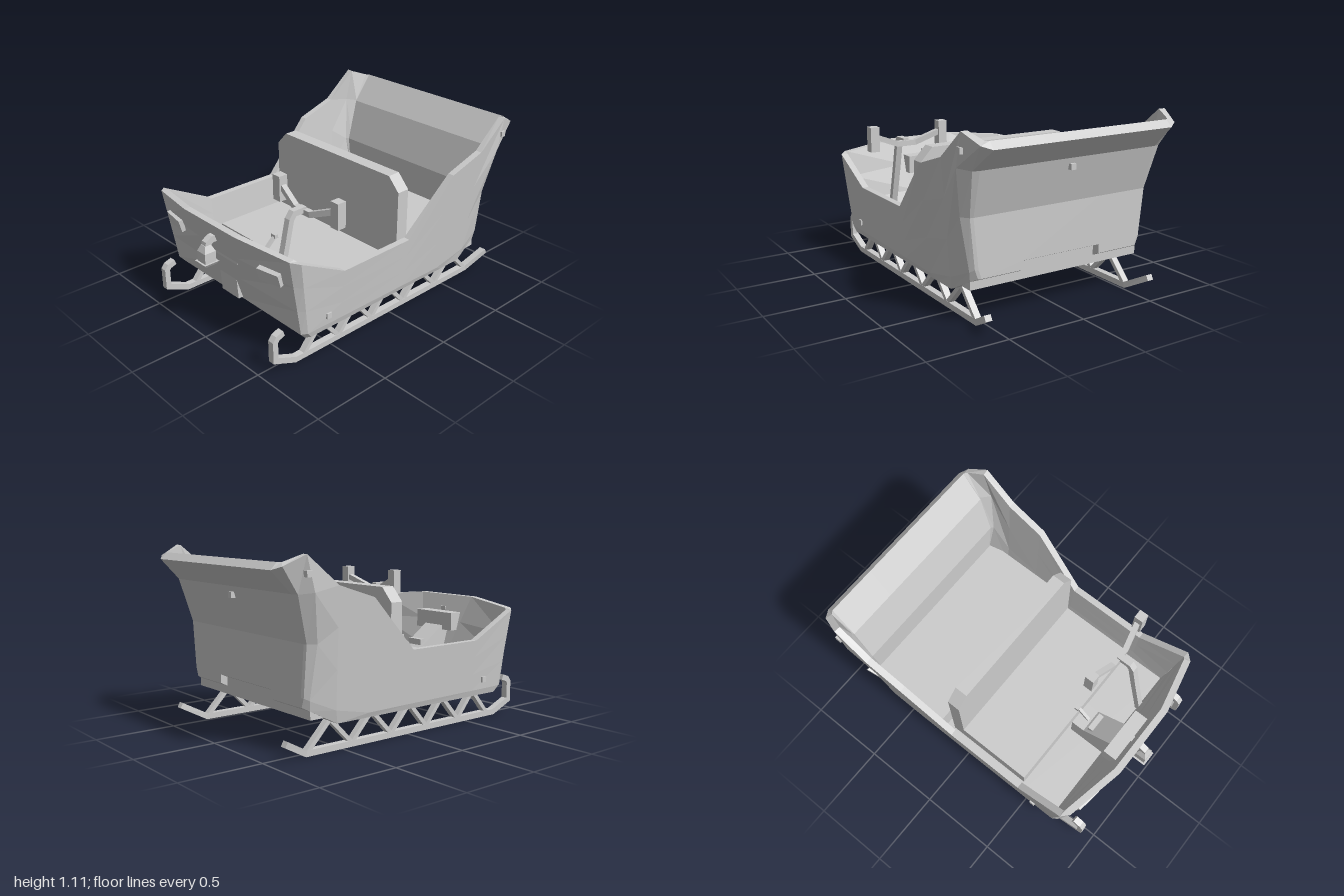
import * as THREE from 'three';

const mat = new THREE.MeshStandardMaterial({ color: 0xcccccc, flatShading: true, side: THREE.DoubleSide });
const V = (x, y, z) => new THREE.Vector3(x, y, z);
const mirror = (p) => V(-p.x, p.y, p.z);

function add(parent, name, geo, x = 0, y = 0, z = 0) {
  const mesh = new THREE.Mesh(geo, mat);
  mesh.name = name;
  mesh.position.set(x, y, z);
  parent.add(mesh);
  return mesh;
}

function box(parent, name, w, h, d, x, y, z) {
  return add(parent, name, new THREE.BoxGeometry(w, h, d), x, y, z);
}

// Skin stretched over rows of points
function sheet(rows, closed = false) {
  const tri = [];
  for (let i = 0; i < rows.length - 1; i++) {
    const a = rows[i], b = rows[i + 1], n = a.length;
    for (let j = 0; j < (closed ? n : n - 1); j++) {
      const k = (j + 1) % n;
      tri.push(a[j], a[k], b[k], a[j], b[k], b[j]);
    }
  }
  const geo = new THREE.BufferGeometry().setFromPoints(tri);
  geo.computeVertexNormals();
  return geo;
}

// Mitred rectangular bar along a path; w runs along 'side', t across it
function bar(pts, w, t, side = V(1, 0, 0)) {
  const p = pts.map((q) => V(...q));
  const normal = (i) => side.clone().cross(p[i + 1].clone().sub(p[i])).normalize();
  const rings = p.map((q, i) => {
    const a = normal(Math.max(i - 1, 0)), b = normal(Math.min(i, p.length - 2));
    const m = a.clone().add(b).normalize();
    m.multiplyScalar(t / 2 / m.dot(a));
    return [[1, 1], [-1, 1], [-1, -1], [1, -1]].map(([s, u]) =>
      q.clone().addScaledVector(side, s * w / 2).addScaledVector(m, u));
  });
  const cap = (r) => r.map(() => r[0].clone().add(r[2]).multiplyScalar(0.5));
  return sheet([cap(rings[0]), ...rings, cap(rings[rings.length - 1])], true);
}

// Profile in (z, y) extruded along x, centred on x = 0
function prism(profile, width) {
  const s = new THREE.Shape(profile.map(([z, y]) => new THREE.Vector2(-z, y)));
  return new THREE.ExtrudeGeometry(s, { depth: width, bevelEnabled: false })
    .translate(0, 0, -width / 2).rotateY(Math.PI / 2);
}

// Hull column: bottom, chine, lower wall, upper wall, rim
function column(b, l, t, m, m2) {
  const B = V(...b), L = V(...l), T = V(...t);
  return [B, L, m ? V(...m) : L.clone().lerp(T, 0.33), m2 ? V(...m2) : L.clone().lerp(T, 0.67), T];
}

function buildHull(parent) {
  const hull = new THREE.Group();
  hull.name = 'hull';
  parent.add(hull);
  const rear = (x, b = 0.28) => column([x, b, -0.79], [x, 0.335, -0.79], [x, 1.03, -1], [x, 0.63, -0.79], [x, 0.9, -0.87]);
  const half = [
    column([0.08, 0.17, 0.73], [0.08, 0.21, 0.765], [0.24, 0.74, 0.925]),
    column([0.59, 0.17, 0.73], [0.6, 0.21, 0.765], [0.61, 0.705, 0.845]),
    column([0.61, 0.17, 0.7], [0.62, 0.21, 0.73], [0.655, 0.695, 0.8]),
    column([0.61, 0.17, 0.48], [0.62, 0.207, 0.48], [0.652, 0.53, 0.48]),
    column([0.61, 0.17, -0.05], [0.62, 0.203, -0.05], [0.652, 0.53, -0.05]),
    column([0.61, 0.17, -0.42], [0.62, 0.2, -0.36], [0.69, 0.86, -0.38]),
    column([0.61, 0.17, -0.58], [0.625, 0.25, -0.6], [0.695, 0.94, -0.63]),
    column([0.59, 0.26, -0.75], [0.6, 0.32, -0.76], [0.695, 1.11, -0.84], [0.645, 0.63, -0.74], [0.695, 0.91, -0.79]),
    column([0.56, 0.28, -0.785], [0.58, 0.335, -0.785], [0.655, 1.05, -0.965], [0.61, 0.63, -0.785], [0.64, 0.9, -0.86]),
    column([0.54, 0.28, -0.79], [0.56, 0.335, -0.79], [0.6, 1.03, -1], [0.59, 0.63, -0.79], [0.6, 0.9, -0.87]),
    rear(0.27),
    rear(0.27, 0.335),
  ];
  const ring = [...half, ...half.slice().reverse().map((c) => c.map(mirror))];
  const n = ring.length;
  const levels = [0, 1, 2, 3, 4].map((k) => ring.map((c) => c[k]));
  add(hull, 'outerShell', sheet(levels, true));

  // Inner lining, set in by the wall thickness
  const inner = levels.slice(1).map((row, k) => row.map((p, i) => {
    const rim = levels[4];
    const d = rim[(i + 1) % n].clone().sub(rim[(i + n - 1) % n]).setY(0).normalize();
    const q = p.clone().add(V(d.z, 0, -d.x).multiplyScalar(0.042 * Math.sign(d.z * -p.x - d.x * -p.z)));
    if (k === 0) q.y += 0.03;
    if (k === 3 && p.z < -0.9) q.y = 1.07;
    return q;
  }));
  add(hull, 'innerShell', sheet(inner, true));
  add(hull, 'rim', sheet([levels[4], inner[3]], true));
  add(hull, 'floor', sheet(inner[0].slice(0, 11).map((p) => [p, mirror(p)])));
  add(hull, 'bottom', sheet(half.slice(0, 6).map((c) => [c[0], mirror(c[0])])));

  // Wedge-shaped recess under the tail
  const tail = half.slice(5, 11).map(([p]) => {
    const u = (-0.42 - p.z) / 0.37, w = 0.18 + 0.09 * u;
    return [p, V(w, p.y, p.z), V(w, 0.17 + 0.165 * u, p.z)];
  });
  add(hull, 'tailRecess', sheet(tail.map((r) => [...r, ...r.slice().reverse().map(mirror)])));
}

function buildRunners(parent) {
  const tops = [0.565, 0.29, 0.015, -0.28, -0.585];
  const feet = [0.7, 0.43, 0.155, -0.13, -0.43, -0.74];
  for (const s of [1, -1]) {
    const g = new THREE.Group();
    g.name = s > 0 ? 'leftRunner' : 'rightRunner';
    const x = s * 0.535;
    add(g, 'rail', bar([[x, 0.238, 0.85], [x, 0.222, 0.895], [x, 0.2, 0.912], [x, 0.08, 0.912],
      [x, 0.018, 0.765], [x, 0.018, -0.75], [s * 0.575, 0.105, -0.91]], 0.042, 0.036));
    tops.forEach((z, i) => {
      for (const f of [feet[i], feet[i + 1]])
        add(g, 'strut', bar([[x, 0.025, f], [x, 0.185, z]], 0.04, 0.026));
    });
    parent.add(g);
  }
}

function buildSeats(parent) {
  box(parent, 'frontBench', 1.1, 0.16, 0.5, 0, 0.28, 0.2);
  box(parent, 'rearBench', 1.18, 0.2, 0.56, 0, 0.31, -0.47);
  const s = new THREE.Shape([[-0.55, 0.21], [0.55, 0.21], [0.55, 0.8], [0.47, 0.885], [-0.47, 0.885], [-0.55, 0.8]]
    .map((p) => new THREE.Vector2(...p)));
  add(parent, 'backrest', new THREE.ExtrudeGeometry(s, { depth: 0.085, bevelEnabled: false }), 0, 0, -0.135);
}

function buildControls(parent) {
  const g = new THREE.Group();
  g.name = 'controls';
  parent.add(g);
  add(g, 'steeringColumn', bar([[0.325, 0.24, 0.73], [0.325, 0.62, 0.635], [0.325, 0.77, 0.6],
    [0.325, 0.803, 0.575], [0.325, 0.803, 0.49]], 0.04, 0.036));
  add(g, 'handlebar', bar([[0.08, 0.855, 0.46], [0.11, 0.85, 0.46], [0.26, 0.79, 0.495], [0.39, 0.79, 0.495],
    [0.54, 0.85, 0.46], [0.57, 0.855, 0.46]], 0.035, 0.035, V(0, 0, 1)));
  for (const x of [0.08, 0.573]) box(g, 'grip', 0.06, 0.16, 0.06, x, 0.845, 0.46);
  box(g, 'dashboard', 0.33, 0.12, 0.1, 0, 0.57, 0.81);
  add(g, 'console', prism([[0.47, 0.22], [0.8, 0.22], [0.82, 0.54], [0.76, 0.54], [0.56, 0.4], [0.47, 0.4]], 0.16));
  box(g, 'consoleSwitch', 0.12, 0.04, 0.035, 0, 0.435, 0.595);
  add(g, 'lever', bar([[0, 0.4, 0.54], [0, 0.48, 0.45]], 0.02, 0.02));
  box(g, 'leverKnob', 0.04, 0.025, 0.025, 0, 0.485, 0.45);
}

function buildFittings(parent) {
  // Lantern hanging from a bracket on the prow
  const lantern = new THREE.Group();
  lantern.name = 'lantern';
  const square = [[0, 0.485], [0.037, 0.485], [0.05, 0.505], [0.038, 0.505], [0.038, 0.57], [0.02, 0.61], [0, 0.61]]
    .map(([r, y]) => new THREE.Vector2(r * Math.SQRT2, y));
  add(lantern, 'lanternBody', new THREE.LatheGeometry(square, 4, Math.PI / 4), 0, 0, 0.95);
  add(lantern, 'bracket', bar([[0, 0.59, 0.95], [0, 0.62, 0.945], [0, 0.638, 0.915], [0, 0.638, 0.85]], 0.04, 0.04));
  parent.add(lantern);

  for (const s of [1, -1]) {
    const lamp = box(parent, 'headlamp', 0.16, 0.08, 0.05, s * 0.45, 0.56, 0.842);
    lamp.rotation.set(0.25, s * 0.14, 0);
    box(parent, 'frontBolt', 0.03, 0.035, 0.035, s * 0.622, 0.27, 0.58);
    box(parent, 'rearBolt', 0.03, 0.035, 0.035, s * 0.69, 1.01, -0.83);
  }
  box(parent, 'backBolt', 0.035, 0.035, 0.03, 0, 0.85, -0.865);
  box(parent, 'drainPlug', 0.04, 0.02, 0.04, 0, 0.168, 0.04);
}

export function createModel() {
  const model = new THREE.Group();
  model.name = 'sleigh';
  buildHull(model);
  buildRunners(model);
  buildSeats(model);
  buildControls(model);
  buildFittings(model);
  return model;
}
